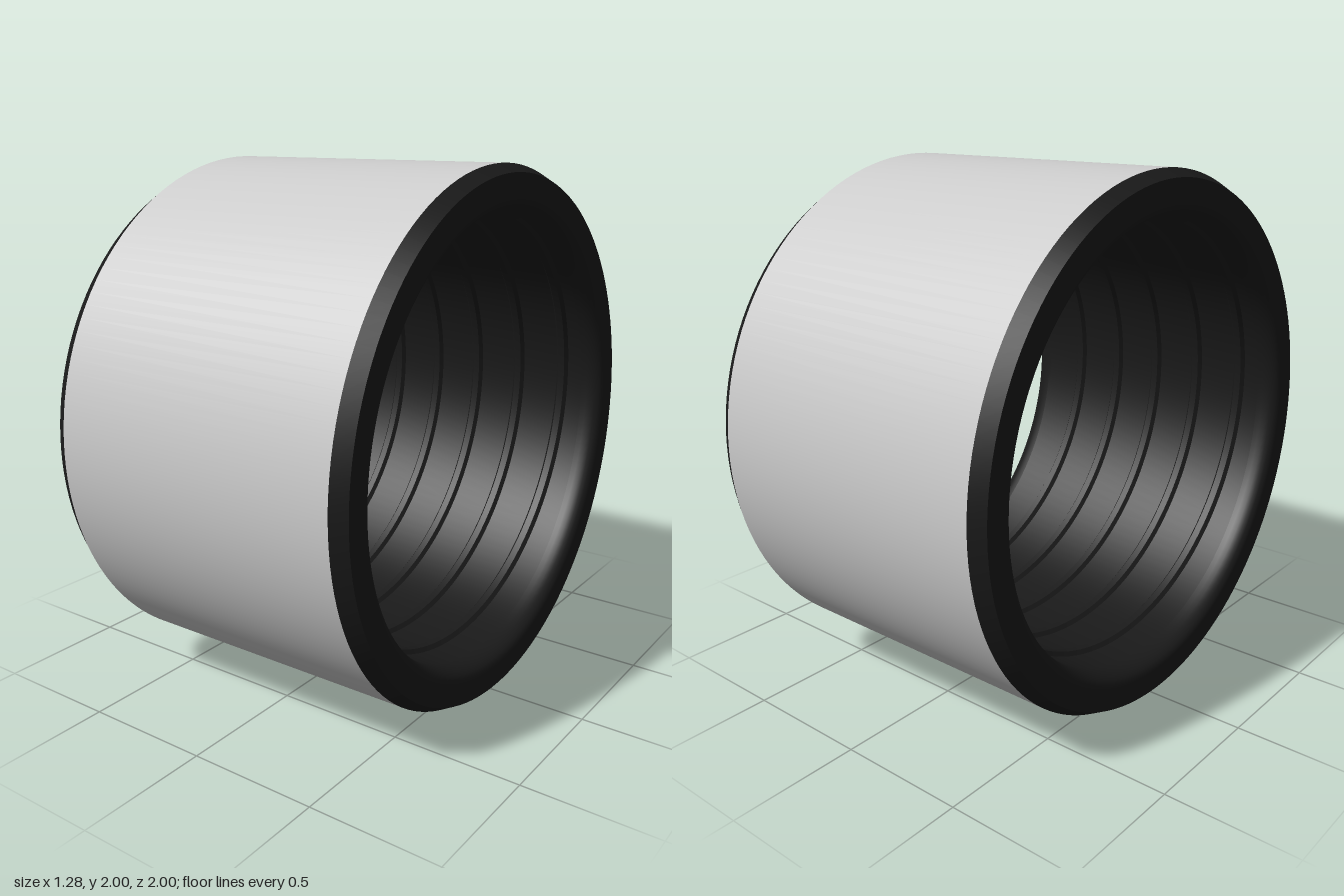
import * as THREE from 'three';
import { toCreasedNormals } from 'three/addons/utils/BufferGeometryUtils.js';

const SEG = 128;
const HALF = 0.64;      // half length along x
const BAND = 0.585;     // half length of the plain outer wall
const BORE = 0.835;     // bore radius between thread ridges
const BORE_END = 0.56;  // where the rounded lips meet the bore
const PITCH = 0.208;
const RIDGE = 0.015;    // thread ridge height

// Internal helical thread: rows follow the helix and are clamped at the lips
function threadedBore() {
  const offsets = [-0.026, -0.014, 0.014, 0.026];
  const rows = [];
  rows.push([-2, 0]);
  for (let k = -5; k <= 4; k++) {
    offsets.forEach((o, i) => rows.push([k * PITCH + o, i === 1 || i === 2 ? 1 : 0]));
  }
  rows.push([2, 0]);

  const pos = [], index = [], n = rows.length;
  for (let s = 0; s <= SEG; s++) {
    const a = (s / SEG) * Math.PI * 2;
    for (const [start, height] of rows) {
      const x = THREE.MathUtils.clamp(start + 0.104 + PITCH * s / SEG, -BORE_END, BORE_END);
      const fade = THREE.MathUtils.clamp((BORE_END - Math.abs(x)) / 0.04, 0, 1);
      const r = BORE - RIDGE * height * fade;
      pos.push(x, r * Math.cos(a), r * Math.sin(a));
    }
  }
  for (let s = 0; s < SEG; s++) {
    for (let j = 0; j < n - 1; j++) {
      const a = s * n + j, b = a + n;
      index.push(a, a + 1, b, a + 1, b + 1, b);
    }
  }
  const g = new THREE.BufferGeometry();
  g.setAttribute('position', new THREE.Float32BufferAttribute(pos, 3));
  g.setIndex(index);
  return toCreasedNormals(g, 0.4);
}

// Chamfer, flat end face and rounded lip leading into the bore
function endRing() {
  const points = [[1, BAND], [0.97, HALF], [0.885, HALF]];
  for (let i = 1; i <= 6; i++) {
    const t = (i / 6) * Math.PI / 2;
    points.push([0.885 - (0.885 - BORE) * Math.sin(t), BORE_END + (HALF - BORE_END) * Math.cos(t)]);
  }
  const g = new THREE.LatheGeometry(points.map(p => new THREE.Vector2(...p)), SEG);
  g.rotateZ(-Math.PI / 2);
  return toCreasedNormals(g, 0.4);
}

export function createModel() {
  const group = new THREE.Group();
  group.name = 'threadedCoupling';
  const grey = new THREE.MeshStandardMaterial({ color: 0xcccccc });
  const dark = new THREE.MeshStandardMaterial({ color: 0x1a1a1a, side: THREE.DoubleSide });

  const add = (name, geometry, material) => {
    const mesh = new THREE.Mesh(geometry, material);
    mesh.name = name;
    mesh.position.y = 1;
    group.add(mesh);
    return mesh;
  };

  // Plain outer wall
  const wall = new THREE.CylinderGeometry(1, 1, BAND * 2, SEG, 1, true);
  wall.rotateZ(-Math.PI / 2);
  add('outerWall', wall, grey);

  // Matching ends
  const ring = endRing();
  add('leftEndRing', ring, dark);
  add('rightEndRing', ring, dark).rotation.y = Math.PI;

  add('threadedBore', threadedBore(), dark);
  return group;
}
